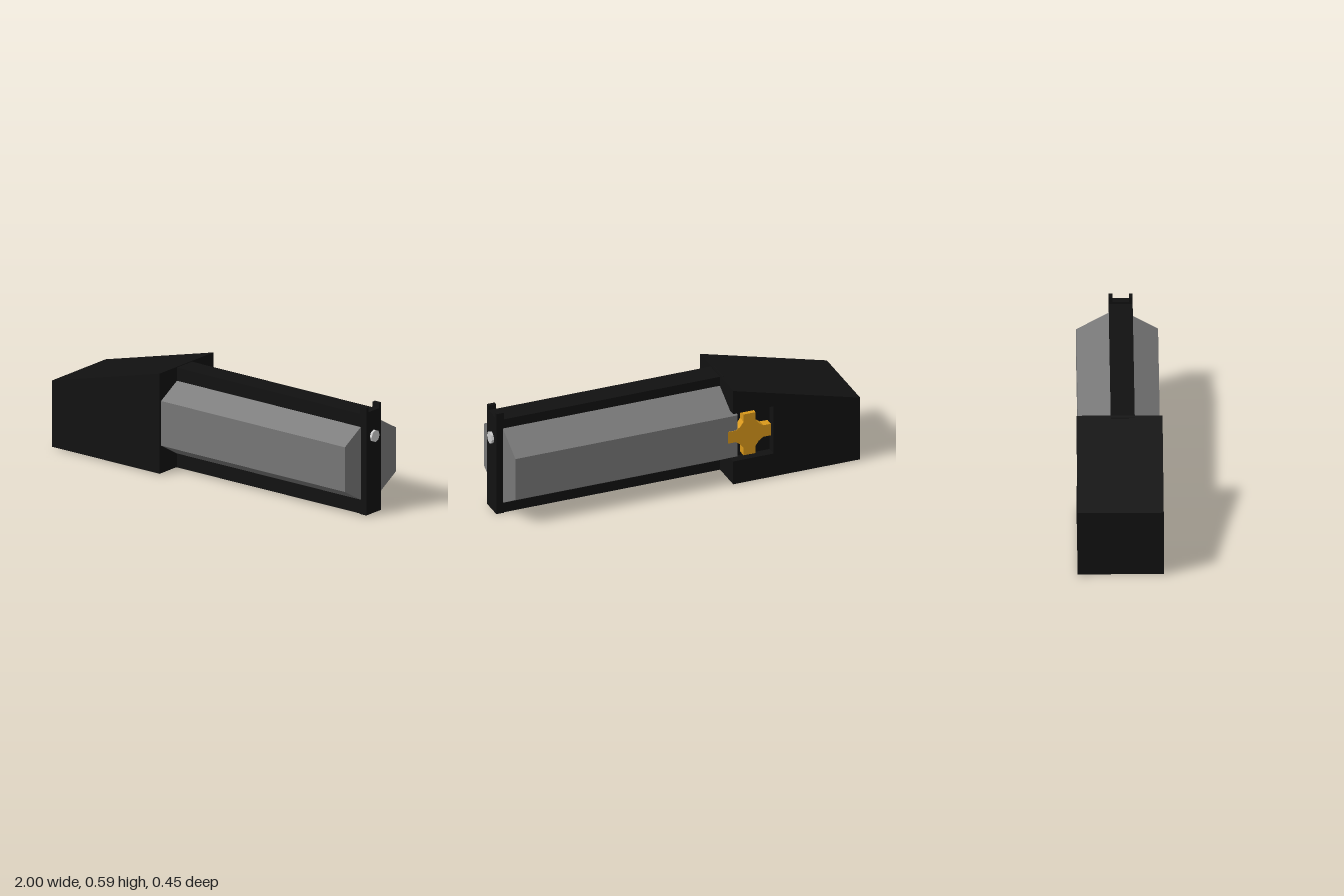
import * as THREE from 'three';

const mat = (color) => new THREE.MeshStandardMaterial({ color, flatShading: true });

export function createModel() {
  const model = new THREE.Group();
  const black = mat(0x111111);
  const grey = mat(0x777777);
  const silver = mat(0xcccccc);
  const gold = mat(0xd9981a);

  function add(name, geometry, material) {
    const mesh = new THREE.Mesh(geometry, material);
    mesh.name = name;
    model.add(mesh);
    return mesh;
  }

  // Extrudes an x-y outline from z0 to z1
  function slab(points, z0, z1) {
    const shape = new THREE.Shape(points.map(([x, y]) => new THREE.Vector2(x, y)));
    return new THREE.ExtrudeGeometry(shape, { depth: z1 - z0, bevelEnabled: false }).translate(0, 0, z0);
  }

  // Extrudes a z-y outline along x
  function bar(points, x0, x1) {
    return slab(points.map(([z, y]) => [-z, y]), 0, x1 - x0).rotateY(Math.PI / 2).translate(x0, 0, 0);
  }

  // Wedge-shaped rear block, with a pocket open to the front on its back side
  add('rearBlock', slab([[-1, 0.005], [-0.28, 0.005], [-0.28, 0.557], [-1, 0.37]], -0.17, 0.225), black);
  add('pocketWall', slab([
    [-1, 0.005], [-0.28, 0.005], [-0.28, 0.14], [-0.51, 0.14],
    [-0.51, 0.42], [-0.28, 0.42], [-0.28, 0.557], [-1, 0.37],
  ], -0.225, -0.17), black);

  // Central spine
  add('spine', bar([[-0.045, 0.003], [0.08, 0.003], [0.08, 0.553], [-0.045, 0.553]], -0.3, 0.95), black);

  // End plate with two prongs at the top
  add('endPlate', bar([
    [-0.045, 0], [0.08, 0], [0.08, 0.592], [0.06, 0.592],
    [0.06, 0.565], [-0.025, 0.565], [-0.025, 0.592], [-0.045, 0.592],
  ], 0.945, 0.987), black);

  // Bevelled side panels
  add('leftPanel', bar([[0.07, 0.074], [0.213, 0.157], [0.213, 0.403], [0.07, 0.486]], -0.31, 0.95), grey);
  add('rightPanel', bar([[-0.035, 0.054], [-0.215, 0.16], [-0.215, 0.402], [-0.035, 0.506]], -0.31, 0.95), grey);

  // Octagonal stud on the end plate
  const stud = add('stud', new THREE.CylinderGeometry(0.033, 0.033, 0.025, 8), silver);
  stud.rotation.z = Math.PI / 2;
  stud.position.set(0.9875, 0.425, 0.018);

  // Four-armed knob in the pocket
  const outline = [];
  for (let i = 0; i < 4; i++) {
    const c = Math.round(Math.cos(i * Math.PI / 2));
    const s = Math.round(Math.sin(i * Math.PI / 2));
    for (const [x, y] of [[0.078, -0.034], [0.121, -0.034], [0.121, 0.034], [0.078, 0.034], [0.052, 0.052]]) {
      outline.push([-0.376 + x * c - y * s, 0.281 + x * s + y * c]);
    }
  }
  add('crossKnob', slab(outline, -0.218, -0.165), gold);

  return model;
}
